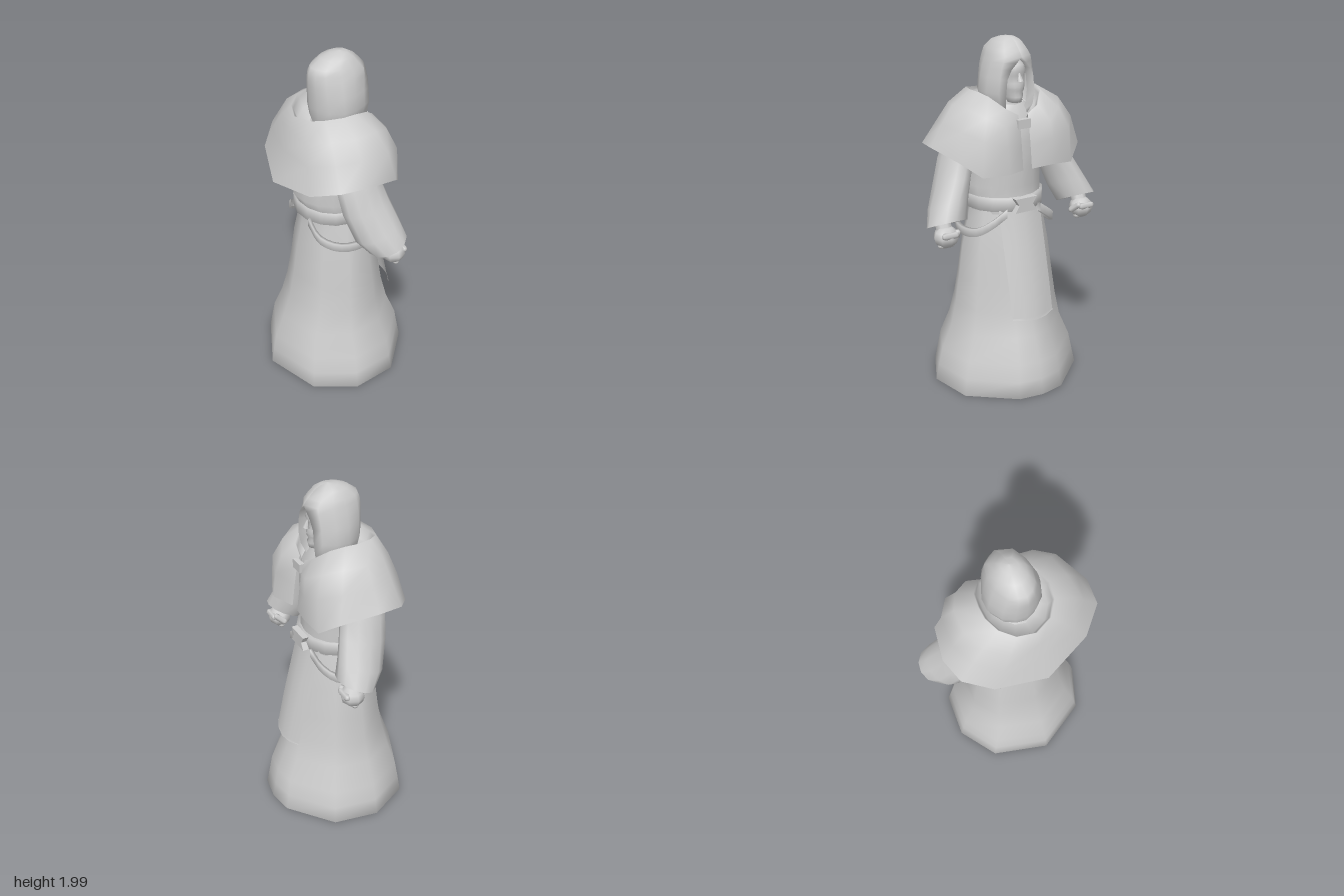
import * as THREE from 'three';

const cloth = new THREE.MeshStandardMaterial({ color: 0xcccccc, side: THREE.DoubleSide });
cloth.name = 'plain grey';

// Surface through rows of points (rows rise, points run from +x towards +z)
function grid(rows, closed) {
  const n = rows[0].length, index = [];
  const cols = closed ? n : n - 1;
  for (let r = 0; r < rows.length - 1; r++) {
    for (let c = 0; c < cols; c++) {
      const a = r * n + c, b = r * n + (c + 1) % n;
      index.push(a, a + n, b, b, a + n, b + n);
    }
  }
  const g = new THREE.BufferGeometry();
  g.setAttribute('position', new THREE.Float32BufferAttribute(rows.flat(2), 3));
  g.setIndex(index);
  g.computeVertexNormals();
  return g;
}

// Evenly spaced corner angles in degrees
const even = (n) => Array.from({ length: n }, (_, i) => (i * 360) / n);

// Oval ring from back x to front x, half width w, tilted up towards the front
function ring([y, back, front, w, z = 0, tilt = 0], angles) {
  const cx = (back + front) / 2, rx = (front - back) / 2;
  return angles.map((deg) => {
    const t = THREE.MathUtils.degToRad(deg), dx = Math.cos(t) * rx;
    return [cx + dx, y + dx * tilt, z + Math.sin(t) * w];
  });
}
const loft = (sections, angles) => grid(sections.map((s) => ring(s, angles)), true);

// Open row from the +z edge round the back to the -z edge, whose side may be flatter in front
const mirrorRow = (half, limit = 1) =>
  [...half, ...half.slice(0, -1).reverse().map(([x, y, z]) => [Math.min(x, limit), y, -z])];

function part(parent, name, geometry, x = 0, y = 0, z = 0) {
  const m = new THREE.Mesh(geometry, cloth);
  m.name = name;
  m.position.set(x, y, z);
  parent.add(m);
  return m;
}

function addCape(parent) {
  // Columns from front slit to back: rim, shoulder, middle, hem
  const columns = [
    [[.19, 1.60, .03], [.21, 1.53, .028], [.225, 1.43, .028], [.24, 1.305, .028]],
    [[.18, 1.64, .10], [.245, 1.56, .14], [.28, 1.46, .15], [.298, 1.315, .15]],
    [[.11, 1.70, .165], [.195, 1.61, .23], [.24, 1.50, .27], [.245, 1.305, .285]],
    [[.03, 1.715, .185], [.10, 1.645, .29], [.14, 1.54, .35], [.17, 1.385, .385]],
    [[-.04, 1.715, .19], [-.03, 1.645, .307], [-.03, 1.55, .375], [-.03, 1.43, .445]],
    [[-.13, 1.71, .165], [-.15, 1.635, .265], [-.16, 1.54, .335], [-.175, 1.42, .42]],
    [[-.20, 1.69, .10], [-.24, 1.60, .165], [-.265, 1.50, .22], [-.285, 1.36, .285]],
    [[-.23, 1.68, 0], [-.265, 1.60, 0], [-.295, 1.49, 0], [-.365, 1.31, 0]],
  ];
  const rows = [3, 2, 1, 0].map((r) => mirrorRow(columns.map((c) => c[r]), .258));
  // Collar turning down inside to the neck
  rows.push(mirrorRow(columns.map(([[x, y, z]]) => [x * .95, y - .02, z * .95])));
  rows.push(mirrorRow(columns.map(([[x, y, z]]) => [x * .85, y - .08, z * .85])));
  rows.push(mirrorRow(columns.map(([[x, y, z]]) => [x * .55, y - .09, z * .55])));
  part(parent, 'shoulderCape', grid(rows, false));
}

function addHead(parent) {
  const head = new THREE.Group();
  head.name = 'head';
  parent.add(head);
  // Hood rows: y, front x, half opening, half width, back x
  const hood = [
    [1.58, .13, .06, .10, -.11], [1.64, .155, .085, .135, -.13], [1.71, .165, .09, .155, -.14],
    [1.79, .165, .082, .143, -.143], [1.84, .17, .06, .133, -.146], [1.875, .175, .03, .122, -.146],
    [1.905, .175, 0, .112, -.143], [1.935, .15, 0, .10, -.13], [1.975, .11, 0, .075, -.075],
    [1.993, .075, 0, .042, -.02], [2.0, .035, 0, 0, .035],
  ].map(([y, f, o, w, b]) => {
    const mid = (f + b) / 2, r = (f - b) / 2;
    return mirrorRow([
      [f - r * .35, y, o * .85], [f, y, o], [f - r * .25, y, Math.max(o, w * .72)],
      [mid + r * .3, y, w * .96], [mid - r * .15, y, w], [mid - r * .65, y, w * .76],
      [mid - r * .9, y, w * .4], [b, y, 0],
    ]);
  });
  part(head, 'hood', grid(hood, false));

  // Face: chin, lips, cheeks, brow, forehead
  part(head, 'face', loft([
    [1.648, .06, .12, .02], [1.655, .02, .148, .04], [1.685, 0, .157, .052], [1.705, 0, .147, .057],
    [1.722, 0, .158, .061], [1.73, 0, .152, .063], [1.738, 0, .159, .064], [1.76, 0, .152, .069],
    [1.80, 0, .146, .072], [1.825, 0, .162, .07], [1.86, 0, .153, .06], [1.90, .02, .12, .04],
    [1.92, .06, .07, .005],
  ], even(16)));
  const nose = part(head, 'nose', new THREE.ConeGeometry(.018, .06, 6), .157, 1.80, 0);
  nose.rotation.z = .25;
  part(head, 'neck', new THREE.CylinderGeometry(.075, .11, .2, 12), .03, 1.58, 0);
}

function addArm(parent, side) {
  const arm = new THREE.Group();
  arm.name = side > 0 ? 'leftArm' : 'rightArm';
  arm.scale.z = side;
  parent.add(arm);
  // Sleeve from inside the cuff, over its rim and up to the shoulder
  part(arm, 'sleeve', loft([
    [1.16, .02, .12, .06, .40, .4], [1.045, .01, .20, .10, .432, .45],
    [1.035, 0, .207, .112, .428, .45], [1.12, -.07, .18, .104, .395, .4],
    [1.25, -.12, .147, .092, .343, .2], [1.36, -.137, .122, .09, .305, .08],
    [1.48, -.12, .11, .085, .265], [1.60, -.07, .07, .06, .20],
  ], even(12)));
  // Closed fist with curled fingers and a thumb
  const wrist = part(arm, 'wrist', new THREE.CylinderGeometry(.045, .045, .14, 8), .10, 1.03, .45);
  wrist.rotation.z = .5;
  const palm = part(arm, 'palm', new THREE.SphereGeometry(.062, 8, 6), .13, .975, .45);
  palm.scale.set(1.08, .98, 1.15);
  for (let i = 0; i < 4; i++) {
    const finger = part(arm, 'finger', new THREE.CapsuleGeometry(.019, .065, 2, 6),
      .18 - i * .016, .995 - i * .022, .45);
    finger.rotation.x = Math.PI / 2;
  }
  const thumb = part(arm, 'thumb', new THREE.CapsuleGeometry(.019, .055, 2, 6), .15, .985, .393);
  thumb.rotation.set(.5, 0, -.8);
}

// Flat strap swept along a path round the hip
function strapGeometry() {
  const path = new THREE.CatmullRomCurve3([
    [.19, 1.06, .10], [.17, 1.0, .18], [.11, .95, .24], [0, .935, .262],
    [-.10, .945, .24], [-.175, .985, .18], [-.195, 1.06, .10],
  ].map((p) => new THREE.Vector3(...p)));
  return grid(path.getSpacedPoints(16).map((p) =>
    [[0, -.024], [0, .024], [.02, .024], [.02, -.024]].map(([out, up]) => {
      const k = 1 + out / Math.hypot(p.x, p.z);
      return [p.x * k, p.y + up, p.z * k];
    })), true);
}

export function createModel() {
  const figure = new THREE.Group();
  figure.name = 'robedFigure';

  // Skirt: shallow closed underside, hem, then up to the waist
  part(figure, 'robeSkirt', loft([
    [.055, -.01, .01, .01], [.05, -.30, .30, .31], [.025, -.385, .38, .395], [.008, -.42, .418, .435],
    [.10, -.405, .40, .415], [.20, -.388, .383, .392], [.34, -.335, .325, .332], [.48, -.29, .288, .306],
    [.64, -.26, .262, .283], [.82, -.235, .235, .26], [.97, -.205, .212, .229], [1.06, -.19, .19, .21],
  ], [0, 19, 62, 98, 134, 180, 226, 262, 298, 341]));
  part(figure, 'robeBody', loft([
    [1.04, -.19, .185, .205], [1.14, -.215, .182, .222], [1.19, -.24, .18, .226], [1.30, -.225, .185, .22],
    [1.45, -.205, .182, .235], [1.56, -.15, .165, .20], [1.64, -.08, .11, .10],
  ], even(16)));

  // Belt with an hourglass buckle
  part(figure, 'belt', loft([
    [1.065, -.19, .17, .19], [1.062, -.225, .207, .228], [1.138, -.225, .207, .228], [1.135, -.19, .17, .19],
  ], even(16)));
  const bow = new THREE.Shape([[-.07, .04], [-.045, 0], [-.07, -.04], [.07, -.04], [.045, 0], [.07, .04]]
    .map(([x, y]) => new THREE.Vector2(x, y)));
  const buckle = part(figure, 'buckle', new THREE.ExtrudeGeometry(bow, { depth: .035, bevelEnabled: false }), .195, 1.1, 0);
  buckle.rotation.y = Math.PI / 2;

  // Front panel, curved across its width
  const panel = [[.45, .345], [.47, .34], [.65, .302], [.85, .253], [1.0, .215], [1.07, .2]]
    .map(([y, x], r) => [-1, -.5, 0, .5, 1].map((u) => [x - .038 * u * u, y + (r ? 0 : .015 * u * u), u * .135]));
  part(figure, 'frontPanel', grid(panel, false));

  addCape(figure);
  part(figure, 'capeClasp', new THREE.BoxGeometry(.03, .05, .08), .207, 1.555, .01);
  addHead(figure);
  for (const s of [1, -1]) {
    addArm(figure, s);
    part(figure, 'hangingStrap', strapGeometry()).scale.z = s;
    // Shoe soles under the robe: broad toe and heel
    const toe = part(figure, 'shoeToe', new THREE.CylinderGeometry(.06, .065, .05, 12), .08, .033, s * .1);
    toe.scale.x = 1.5;
    part(figure, 'shoeHeel', new THREE.CylinderGeometry(.06, .063, .05, 12), -.055, .035, s * .095);
  }
  return figure;
}
